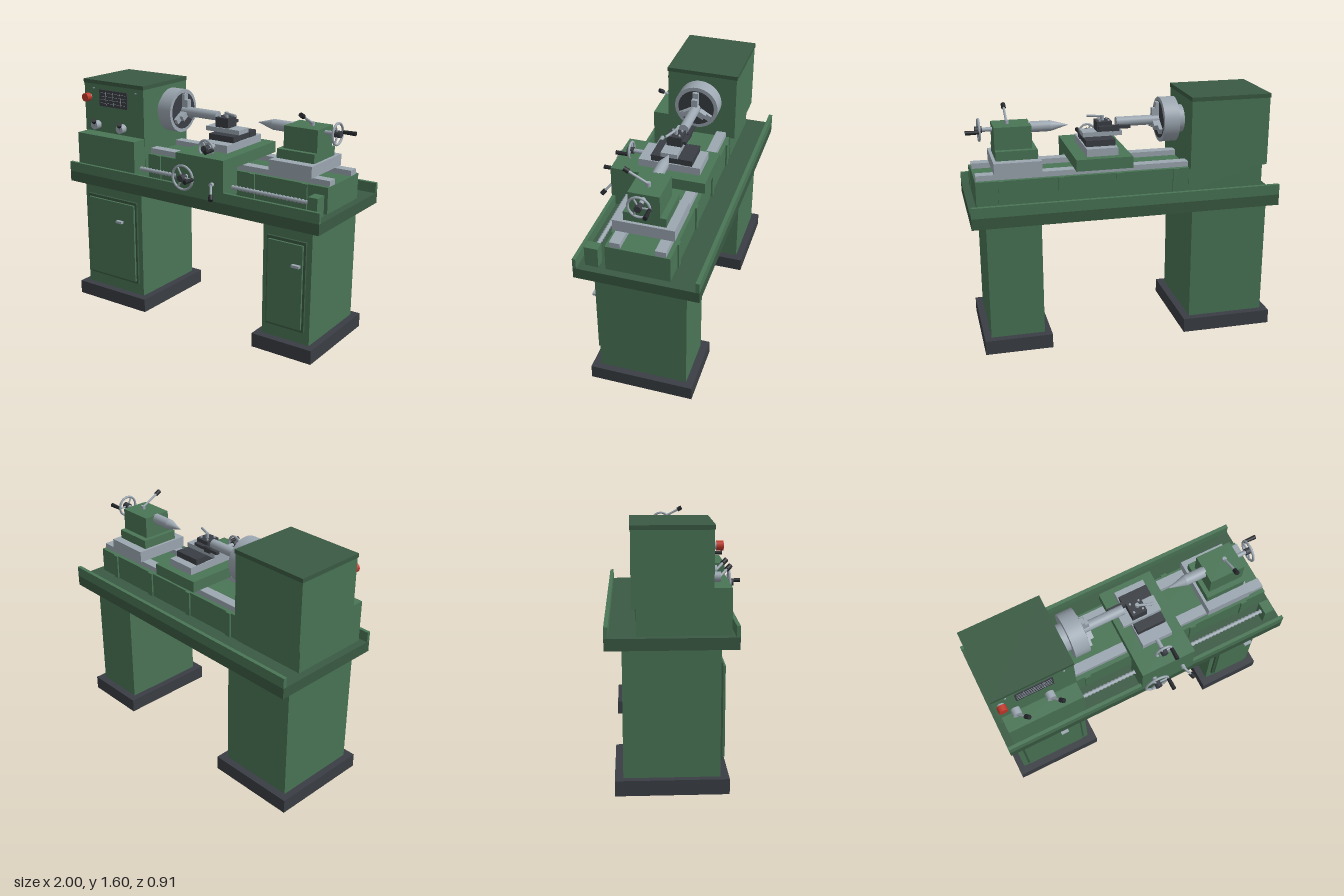
import * as THREE from 'three';

const mat = (color) => new THREE.MeshStandardMaterial({ color });
const GREEN = mat(0x4a7556), DARK_GREEN = mat(0x3a5a43), STEEL = mat(0x9ca7b1);
const BLACK = mat(0x3a3e44), GRIP = mat(0x24272b), RED = mat(0xc0392b);
const AXIS_Y = 1.41, AXIS_Z = -0.065; // spindle centre line

export function createModel() {
  const root = new THREE.Group();

  const add = (name, geo, material, parent = root) => {
    const m = new THREE.Mesh(geo, material);
    m.name = name;
    parent.add(m);
    return m;
  };
  // Box from its extents on each axis
  const box = (name, material, [x0, x1], [y0, y1], [z0, z1], parent = root) => {
    const m = add(name, new THREE.BoxGeometry(x1 - x0, y1 - y0, z1 - z0), material, parent);
    m.position.set((x0 + x1) / 2, (y0 + y1) / 2, (z0 + z1) / 2);
    return m;
  };
  // Cylinder or cone between two points
  const rod = (name, material, a, b, r0, r1 = r0, parent = root, sides = 24) => {
    const p = new THREE.Vector3(...a), q = new THREE.Vector3(...b), d = q.clone().sub(p);
    const m = add(name, new THREE.CylinderGeometry(r1, r0, d.length(), sides), material, parent);
    m.position.copy(p).add(q).multiplyScalar(0.5);
    m.quaternion.setFromUnitVectors(new THREE.Vector3(0, 1, 0), d.normalize());
    return m;
  };
  // Spoked wheel facing local +z, with a crank grip at local +x
  const handwheel = (name, pos, r, back, front, gripLength) => {
    const g = new THREE.Group();
    g.name = name;
    g.position.set(...pos);
    add('wheelRim', new THREE.TorusGeometry(r - 0.008, 0.008, 10, 40), STEEL, g);
    for (let i = 0; i < 3; i++) {
      const a = i * Math.PI * 2 / 3;
      rod('wheelSpoke', STEEL, [0, 0, 0], [Math.cos(a) * (r - 0.01), Math.sin(a) * (r - 0.01), 0], 0.006, 0.006, g, 10);
    }
    rod('wheelHub', BLACK, [0, 0, -0.02], [0, 0, front], 0.022, 0.022, g);
    rod('wheelShaft', STEEL, [0, 0, -back], [0, 0, 0], 0.014, 0.014, g);
    rod('wheelGrip', GRIP, [r - 0.008, 0, 0.005], [r - 0.008, 0, gripLength], 0.012, 0.014, g);
    root.add(g);
    return g;
  };
  // Lever arm with a dark knob at its end
  const lever = (name, a, b, r = 0.008) => {
    const g = new THREE.Group();
    g.name = name;
    root.add(g);
    rod('leverArm', STEEL, a, b, r, r, g, 12);
    const p = new THREE.Vector3(...a), q = new THREE.Vector3(...b);
    const d = q.clone().sub(p).normalize().multiplyScalar(0.018);
    rod('leverKnob', GRIP, q.clone().sub(d).toArray(), q.clone().add(d).toArray(), 0.015, 0.015, g, 16);
  };

  // Pedestals with feet and doors
  for (const s of [
    { foot: [-1, -0.39], body: [-0.955, -0.44], door: [-0.92, -0.475], handle: [-0.635, -0.583] },
    { foot: [0.51, 0.95], body: [0.555, 0.905], door: [0.59, 0.87], handle: [0.79, 0.845] },
  ]) {
    box('foot', BLACK, s.foot, [0, 0.095], [-0.405, 0.275]);
    box('pedestal', GREEN, s.body, [0.095, 0.885], [-0.355, 0.222]);
    box('doorFrame', DARK_GREEN, s.door, [0.18, 0.785], [0.222, 0.237]);
    box('doorPanel', GREEN, [s.door[0] + 0.015, s.door[1] - 0.015], [0.2, 0.765], [0.237, 0.252]);
    box('doorHandle', STEEL, s.handle, [0.622, 0.638], [0.252, 0.278]);
  }

  // Chip tray with front and back lips
  box('tray', DARK_GREEN, [-1, 1], [0.885, 0.957], [-0.457, 0.325]);
  box('frontLip', GREEN, [-1, 1], [0.957, 1.025], [0.303, 0.325]);
  box('backLip', GREEN, [-1, 1], [0.957, 1.025], [-0.457, -0.432]);

  // Bed with ribs and ways
  box('bed', GREEN, [-0.44, 0.95], [0.957, 1.125], [-0.267, 0.135]);
  for (const x of [-0.35, 0.03, 0.41, 0.79])
    box('bedRib', GREEN, [x - 0.02, x + 0.02], [0.957, 1.125], [-0.278, 0.146]);
  for (const z of [[0.04, 0.107], [-0.24, -0.173]])
    box('bedWay', STEEL, [-0.44, 0.945], [1.125, 1.16], z);

  // Headstock
  box('headstockBase', GREEN, [-0.95, -0.44], [0.957, 1.12], [-0.27, 0.17]);
  box('feedGearbox', GREEN, [-0.95, -0.442], [0.957, 1.235], [0.16, 0.283]);
  box('headstock', GREEN, [-0.97, -0.44], [1.12, 1.57], [-0.3, 0.175]);
  box('headstockLid', DARK_GREEN, [-0.973, -0.437], [1.57, 1.597], [-0.305, 0.18]);
  box('controlPanel', BLACK, [-0.83, -0.58], [1.42, 1.535], [0.175, 0.181]);
  for (let i = 1; i < 5; i++)
    box('panelRule', STEEL, [-0.82, -0.59], [1.419 + i * 0.0235, 1.421 + i * 0.0235], [0.181, 0.183]);
  for (const x of [-0.77, -0.705, -0.64])
    box('panelDivider', STEEL, [x - 0.001, x + 0.001], [1.43, 1.525], [0.181, 0.183]);
  for (const x of [-0.885, -0.505])
    rod('panelScrew', STEEL, [x, 1.54, 0.174], [x, 1.54, 0.18], 0.006, 0.006, root, 12);
  rod('buttonCollar', STEEL, [-0.925, 1.475, 0.175], [-0.925, 1.475, 0.19], 0.022);
  rod('stopButton', RED, [-0.925, 1.475, 0.186], [-0.925, 1.475, 0.226], 0.029);
  for (const x of [-0.855, -0.625]) {
    rod('leverBoss', STEEL, [x, 1.285, 0.175], [x, 1.285, 0.22], 0.03);
    lever('gearLever', [x, 1.285, 0.215], [x + 0.047, 1.33, 0.27]);
  }

  // Spindle, chuck, jaws and workpiece
  const onAxis = (name, material, x0, x1, r0, r1 = r0) =>
    rod(name, material, [x0, AXIS_Y, AXIS_Z], [x1, AXIS_Y, AXIS_Z], r0, r1, root, 48);
  onAxis('spindleFlange', STEEL, -0.44, -0.388, 0.09);
  onAxis('chuckBody', STEEL, -0.39, -0.287, 0.147);
  onAxis('chuckFace', BLACK, -0.29, -0.283, 0.122);
  for (let i = 0; i < 3; i++) {
    const jaw = new THREE.Group();
    jaw.name = 'chuckJaw';
    jaw.position.set(0, AXIS_Y, AXIS_Z);
    jaw.rotation.x = i * Math.PI * 2 / 3;
    box('jawStep', STEEL, [-0.285, -0.26], [0.03, 0.118], [-0.02, 0.02], jaw);
    box('jawTip', STEEL, [-0.26, -0.235], [0.03, 0.08], [-0.02, 0.02], jaw);
    root.add(jaw);
  }
  onAxis('workpiece', STEEL, -0.285, 0.005, 0.032);

  // Carriage: saddle, apron and slides
  box('saddle', GREEN, [-0.055, 0.315], [1.16, 1.235], [-0.295, 0.17]);
  box('apron', GREEN, [-0.055, 0.315], [0.96, 1.235], [0.17, 0.327]);
  box('crossSlide', STEEL, [0.03, 0.235], [1.235, 1.285], [-0.24, 0.165]);
  for (const z of [[-0.185, -0.11], [0.02, 0.085]])
    box('slideCover', BLACK, [0.035, 0.228], [1.285, 1.325], z);
  box('compoundBase', BLACK, [0.04, 0.225], [1.285, 1.325], [-0.11, 0.02]);
  box('compoundSlide', STEEL, [-0.033, 0.23], [1.325, 1.355], [-0.09, 0.02]);
  box('toolPost', BLACK, [0.035, 0.135], [1.355, 1.42], [-0.09, 0.01]);
  box('toolHolder', BLACK, [-0.01, 0.04], [1.36, 1.4], [-0.115, -0.095]);
  box('cuttingTool', BLACK, [-0.08, 0.13], [1.375, 1.395], [-0.118, -0.09]);
  for (const x of [0.055, 0.115])
    for (const z of [-0.07, -0.01])
      rod('toolScrew', STEEL, [x, 1.42, z], [x, 1.43, z], 0.007, 0.007, root, 8);
  rod('toolPostStud', STEEL, [0.09, 1.42, -0.04], [0.09, 1.452, -0.04], 0.012);
  rod('toolPostHandle', STEEL, [0.08, 1.445, -0.04], [0.185, 1.445, 0.0], 0.008);

  // Carriage handwheels and feed lever
  handwheel('apronHandwheel', [0.03, 1.09, 0.368], 0.087, 0.05, 0.03, 0.085);
  handwheel('crossSlideHandwheel', [0.13, 1.27, 0.25], 0.062, 0.09, 0.025, 0.085);
  rod('feedLeverBoss', STEEL, [0.235, 1.07, 0.327], [0.235, 1.07, 0.35], 0.014);
  lever('feedLever', [0.235, 1.07, 0.343], [0.273, 1.005, 0.4]);

  // Threaded lead screw and its end bracket
  const thread = [];
  for (let i = 0; i <= 100; i++)
    thread.push(new THREE.Vector2(i % 2 ? 0.016 : 0.01, i * 0.0134));
  const screw = add('leadScrew', new THREE.LatheGeometry(thread, 16), STEEL);
  screw.rotation.z = -Math.PI / 2;
  screw.position.set(-0.445, 1.04, 0.22);
  box('leadScrewBracket', GREEN, [0.885, 0.95], [0.957, 1.09], [0.18, 0.265]);

  // Tailstock
  box('tailstockBase', STEEL, [0.525, 0.83], [1.16, 1.235], [-0.257, 0.128]);
  box('tailstockFoot', GREEN, [0.543, 0.81], [1.235, 1.295], [-0.2, 0.065]);
  box('tailstockBody', GREEN, [0.572, 0.81], [1.295, 1.44], [-0.162, 0.032]);
  onAxis('quill', STEEL, 0.44, 0.58, 0.035);
  onAxis('deadCentre', STEEL, 0.44, 0.325, 0.035, 0.002);
  rod('lockBoss', STEEL, [0.718, 1.44, AXIS_Z], [0.718, 1.465, AXIS_Z], 0.014);
  lever('lockLever', [0.718, 1.455, AXIS_Z], [0.718, 1.525, 0.068]);
  const wheel = handwheel('tailstockHandwheel', [0.895, AXIS_Y, AXIS_Z], 0.075, 0.09, 0.025, 0.09);
  wheel.rotation.y = Math.PI / 2;

  return root;
}
